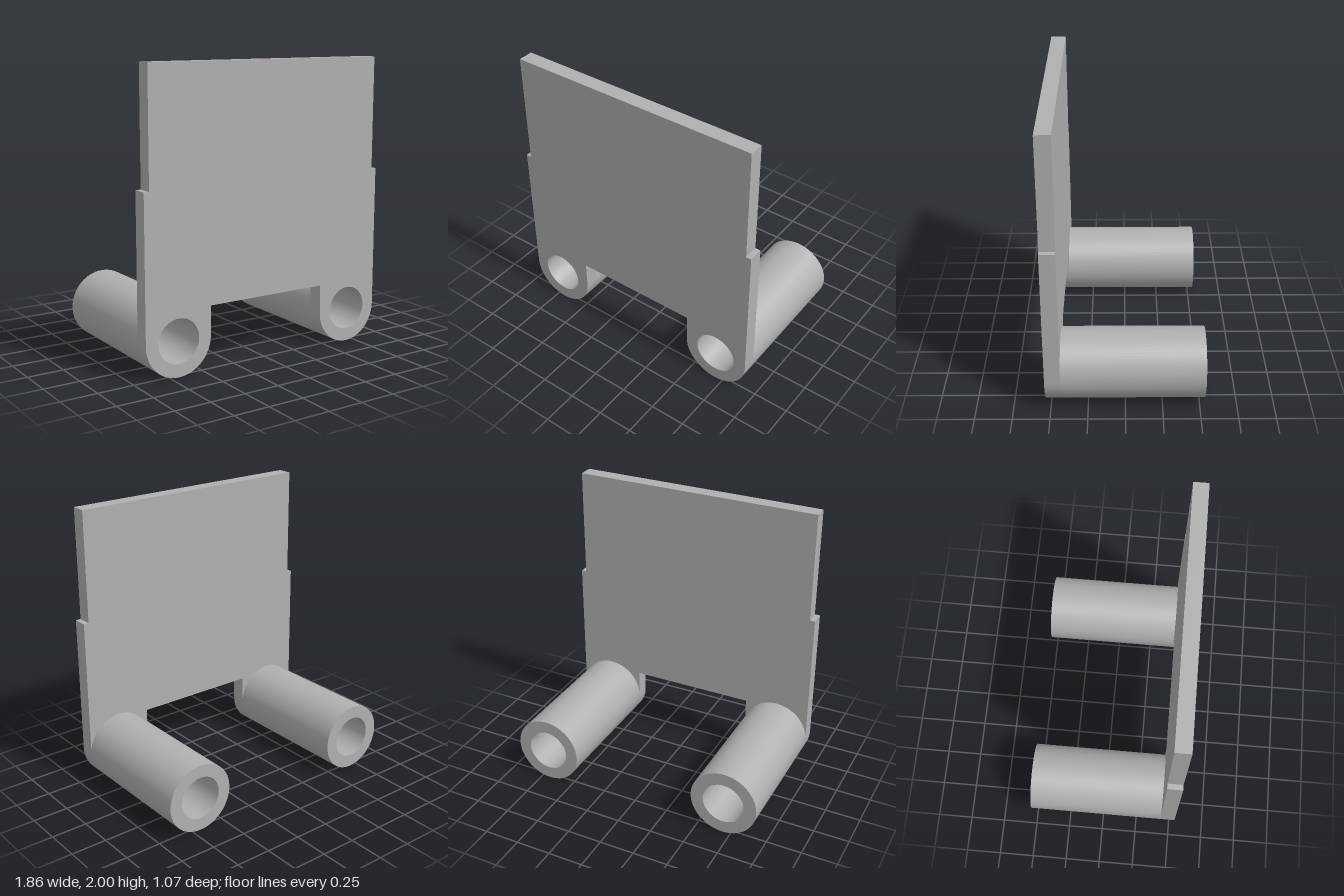
import * as THREE from 'three';
import { toCreasedNormals } from 'three/addons/utils/BufferGeometryUtils.js';

const BORE_X = 0.69, BORE_Y = 0.24, OUTER = 0.24, INNER = 0.15;
const BACK = -0.535, PLATE_BACK = 0.43, FRONT = 0.535;

// Extrude an outline between two z positions, smooth on curves and sharp at corners
function extrude(shape, z0, z1) {
  const geometry = new THREE.ExtrudeGeometry(shape, { depth: z1 - z0, bevelEnabled: false, curveSegments: 32 });
  geometry.translate(0, 0, z0);
  return toCreasedNormals(geometry, 0.6);
}

function circlePath(x, y, radius) {
  return new THREE.Path().absarc(x, y, radius, 0, Math.PI * 2, true);
}

export function createModel() {
  const model = new THREE.Group();
  model.name = 'hingeBracket';
  const grey = new THREE.MeshStandardMaterial({ color: 0xb0b0b0 });
  grey.name = 'grey';

  const add = (name, geometry) => {
    const mesh = new THREE.Mesh(geometry, grey);
    mesh.name = name;
    model.add(mesh);
  };

  // Stepped plate with two rounded, bored lugs
  const outer = BORE_X + OUTER, inner = BORE_X - OUTER;
  const plate = new THREE.Shape();
  plate.moveTo(-0.893, 2);
  plate.lineTo(-0.893, 1.22);
  plate.lineTo(-outer, 1.22);
  plate.lineTo(-outer, BORE_Y);
  plate.absarc(-BORE_X, BORE_Y, OUTER, Math.PI, Math.PI * 2, false);
  plate.lineTo(-inner, 0.437);
  plate.lineTo(inner, 0.437);
  plate.lineTo(inner, BORE_Y);
  plate.absarc(BORE_X, BORE_Y, OUTER, Math.PI, Math.PI * 2, false);
  plate.lineTo(outer, 1.22);
  plate.lineTo(0.893, 1.22);
  plate.lineTo(0.893, 2);
  plate.closePath();
  for (const side of [-1, 1]) plate.holes.push(circlePath(side * BORE_X, BORE_Y, INNER));
  add('plate', extrude(plate, PLATE_BACK, FRONT));

  // Hollow barrels behind the lugs
  for (const side of [-1, 1]) {
    const ring = new THREE.Shape();
    ring.absarc(side * BORE_X, BORE_Y, OUTER, 0, Math.PI * 2, false);
    ring.holes.push(circlePath(side * BORE_X, BORE_Y, INNER));
    add(side > 0 ? 'leftBarrel' : 'rightBarrel', extrude(ring, BACK, PLATE_BACK));
  }
  return model;
}
